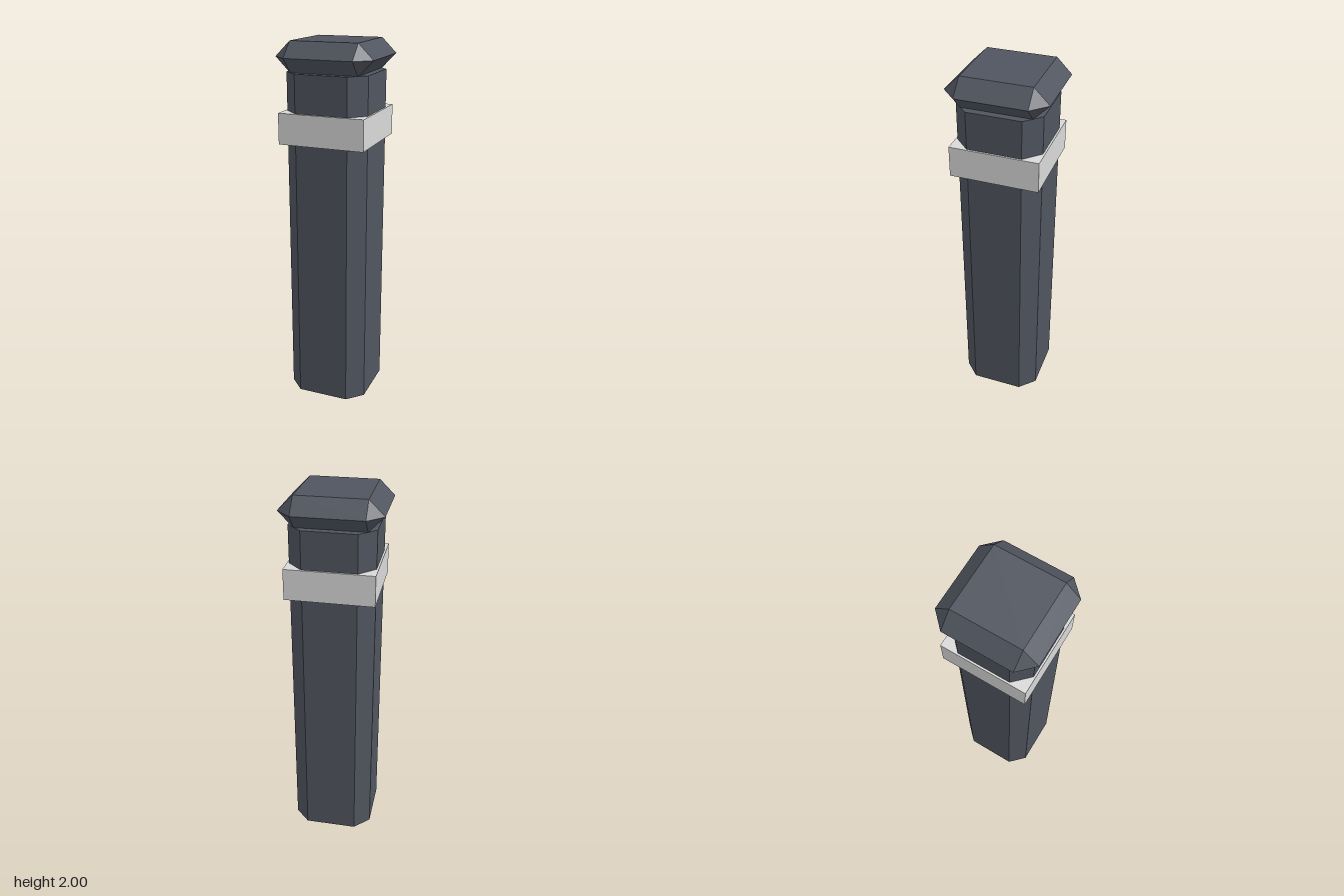
import * as THREE from 'three';
import { ConvexGeometry } from 'three/addons/geometries/ConvexGeometry.js';

const charcoal = new THREE.MeshStandardMaterial({ color: 0x50555f });
charcoal.name = 'charcoal';
const paleGrey = new THREE.MeshStandardMaterial({ color: 0xd8d8d8 });
paleGrey.name = 'pale grey';

// Square ring of points at height y; flat < half cuts the corners
function ring(half, flat, y) {
  const points = [];
  for (const sx of [-1, 1]) {
    for (const sz of [-1, 1]) {
      points.push(new THREE.Vector3(sx * half, y, sz * flat));
      if (flat < half) points.push(new THREE.Vector3(sx * flat, y, sz * half));
    }
  }
  return points;
}

export function createModel() {
  const bollard = new THREE.Group();
  bollard.name = 'bollard';

  function add(name, geometry, material) {
    const mesh = new THREE.Mesh(geometry, material);
    mesh.name = name;
    bollard.add(mesh);
    return mesh;
  }

  // Shaft with chamfered corners
  add('shaft', new ConvexGeometry([
    ...ring(0.225, 0.143, 0),
    ...ring(0.225, 0.143, 1.84),
  ]), charcoal);

  // Square reflective band
  add('band', new THREE.BoxGeometry(0.47, 0.165, 0.47), paleGrey).position.y = 1.5555;

  // Cap bevelled above and below
  add('cap', new ConvexGeometry([
    ...ring(0.184, 0.184, 1.838),
    ...ring(0.265, 0.184, 1.92),
    ...ring(0.184, 0.184, 2),
  ]), charcoal);

  return bollard;
}
